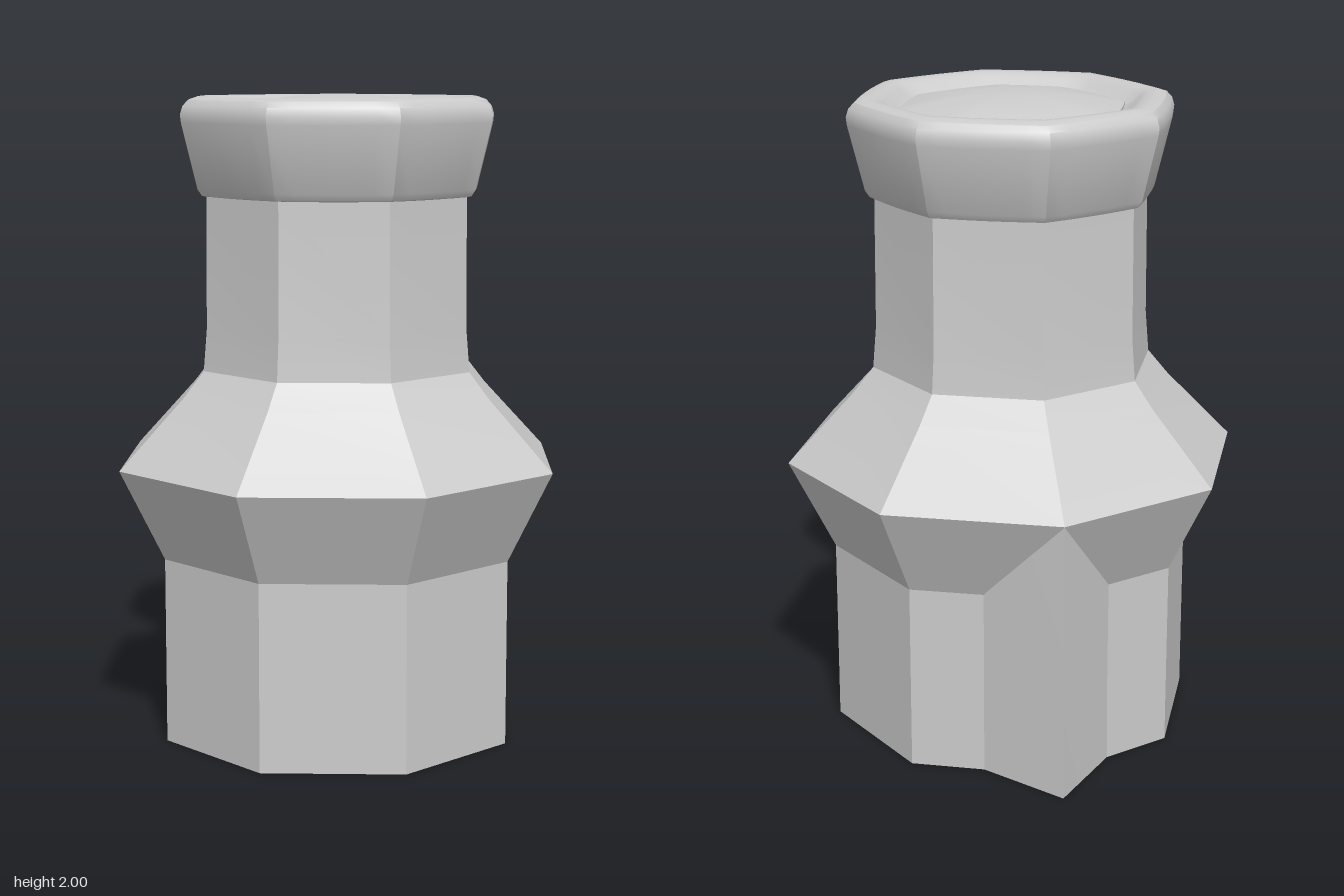
import * as THREE from 'three';
import { toCreasedNormals } from 'three/addons/utils/BufferGeometryUtils.js';

const grey = new THREE.MeshStandardMaterial({ color: 0xcccccc });
grey.name = 'light grey';

function part(name, geometry, crease = 0.5) {
  const mesh = new THREE.Mesh(toCreasedNormals(geometry, crease), grey);
  mesh.name = name;
  return mesh;
}

const lathe = (points, sides) =>
  new THREE.LatheGeometry(points.map(([r, y]) => new THREE.Vector2(r, y)), sides);

// Turn a round lathe into an octagon whose sides bulge slightly
function octagonize(geometry, bulge) {
  const p = geometry.attributes.position;
  const step = Math.PI / 4;
  for (let i = 0; i < p.count; i++) {
    const x = p.getX(i), z = p.getZ(i);
    const turn = Math.atan2(x, z) / step;
    const t = turn - Math.floor(turn + 1e-5);
    const k = Math.cos(step / 2) / Math.cos((t - 0.5) * step) + bulge * 4 * t * (1 - t);
    p.setX(i, x * k);
    p.setZ(i, z * k);
  }
  return geometry;
}

// Extrude a plan outline upward from y = 0
function extrudeUp(shape, height) {
  return new THREE.ExtrudeGeometry(shape, { depth: height, bevelEnabled: false, curveSegments: 8 })
    .rotateX(-Math.PI / 2);
}

// Round socket with four slots along the axes
function socketOutline(radius, halfWidth, reach) {
  const path = new THREE.Path();
  const a = Math.asin(halfWidth / radius);
  for (let i = 0; i < 4; i++) {
    const q = i * Math.PI / 2, c = Math.cos(q), s = Math.sin(q);
    const tip = (side) => [reach * c - side * halfWidth * s, reach * s + side * halfWidth * c];
    if (i === 0) path.moveTo(...tip(-1));
    else path.lineTo(...tip(-1));
    path.lineTo(...tip(1));
    path.absarc(0, 0, radius, q + a, q + Math.PI / 2 - a, false);
  }
  path.closePath();
  return path;
}

export function createModel() {
  const model = new THREE.Group();
  model.name = 'knob';
  const body = new THREE.Group();
  body.name = 'octagonalBody';
  body.position.z = 0.004;
  model.add(body);

  // Straight base with the socket cut into its underside
  const corners = Array.from({ length: 8 }, (_, i) =>
    new THREE.Vector2(0.571 * Math.cos(i * Math.PI / 4), 0.571 * Math.sin(i * Math.PI / 4)));
  const base = new THREE.Shape(corners);
  base.holes.push(socketOutline(0.16, 0.055, 0.42));
  body.add(part('base', extrudeUp(base, 0.58)));

  // Flared collar and neck; its flat underside closes the socket
  body.add(part('collarAndNeck', lathe([
    [0, 0.58], [0.571, 0.58], [0.712, 0.865], [0.505, 1.08],
    [0.44, 1.16], [0.429, 1.29], [0.426, 1.72],
  ], 8)));

  // Cap with a rolled rim
  body.add(part('cap', octagonize(lathe([
    [0.41, 1.69], [0.44, 1.695], [0.454, 1.715], [0.504, 1.915], [0.507, 1.94],
    [0.499, 1.965], [0.482, 1.983], [0.455, 1.992], [0.425, 1.99],
    [0.398, 1.978], [0.375, 1.958], [0.345, 1.945],
  ], 48), 0.02), 0.5));

  // Shallow dome set inside the rim
  const dome = [];
  for (let i = 0; i <= 8; i++) {
    const r = 0.35 * (1 - i / 8);
    dome.push([r, 2 - 0.36 * r * r]);
  }
  dome.unshift([0.35, 1.94]);
  body.add(part('topDome', octagonize(lathe(dome, 48), 0.02), 0.5));

  // Pointer ridge at the back, leaning in slightly towards the top
  const ridge = new THREE.Shape([
    new THREE.Vector2(0, 0.717), new THREE.Vector2(-0.25, 0.42), new THREE.Vector2(0.25, 0.42),
  ]);
  const pointer = extrudeUp(ridge, 0.865);
  const p = pointer.attributes.position;
  for (let i = 0; i < p.count; i++) {
    if (p.getY(i) > 0.8 && p.getZ(i) < -0.6) p.setZ(i, -0.707);
  }
  model.add(part('pointerRidge', pointer));

  return model;
}
